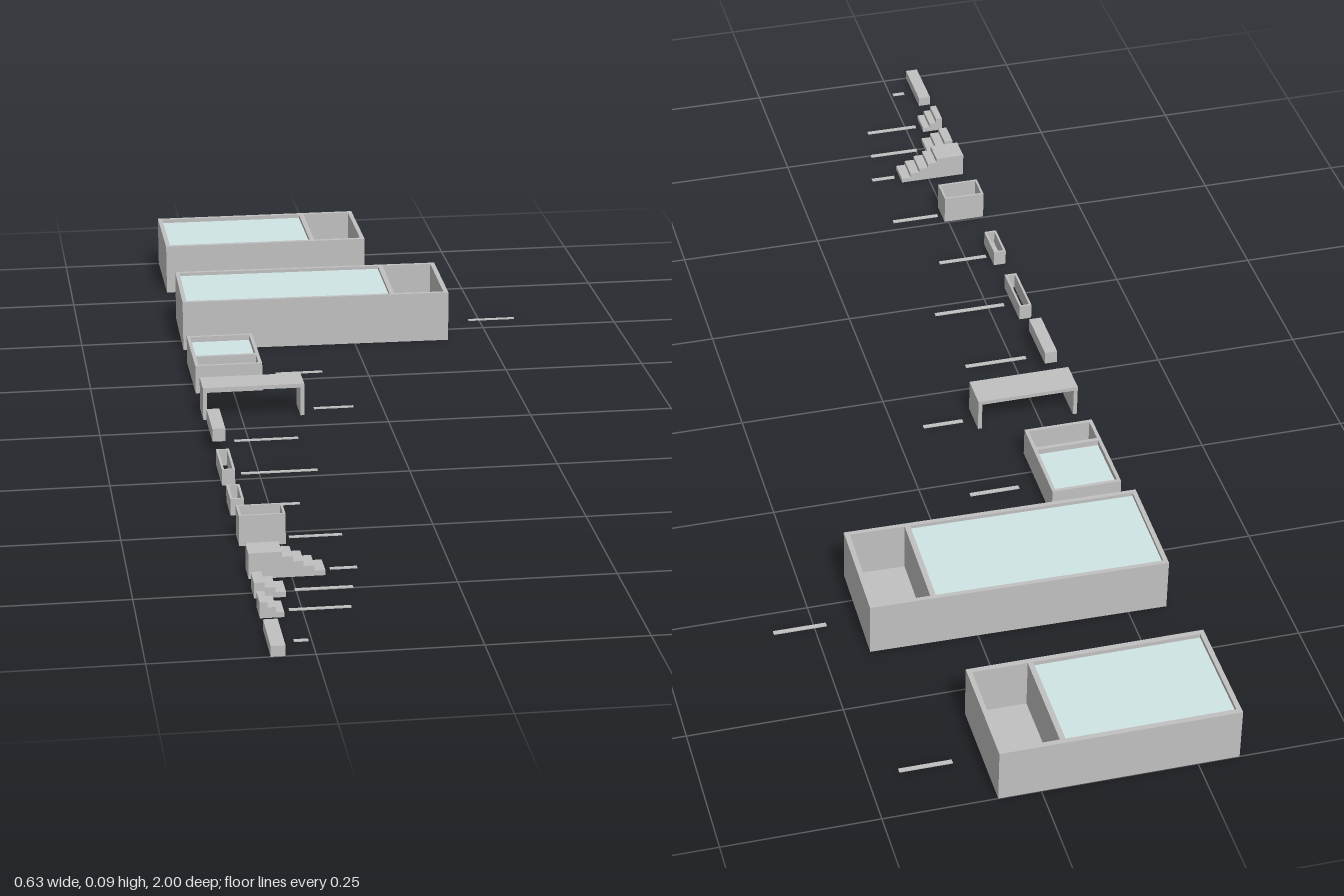
import * as THREE from 'three';

const concrete = new THREE.MeshStandardMaterial({ color: 0xc0c0c0 });
concrete.name = 'concrete grey';
const waterBlue = new THREE.MeshStandardMaterial({ color: 0xcfe5e5 });
waterBlue.name = 'pale water blue';

const LEFT = -0.317; // common edge on which every piece is aligned

function add(group, name, geometry, material) {
  const mesh = new THREE.Mesh(geometry, material);
  mesh.name = name;
  group.add(mesh);
}

// Box given by its limits
function block(group, name, x0, x1, y0, y1, z0, z1, material = concrete) {
  const g = new THREE.BoxGeometry(x1 - x0, y1 - y0, z1 - z0);
  g.translate((x0 + x1) / 2, (y0 + y1) / 2, (z0 + z1) / 2);
  add(group, name, g, material);
}

function rect(target, x0, x1, z0, z1) {
  target.moveTo(x0, -z0);
  target.lineTo(x0, -z1);
  target.lineTo(x1, -z1);
  target.lineTo(x1, -z0);
  target.closePath();
  return target;
}

// Walls around rectangular openings [x0, x1, z0, z1, waterLevel], plus a floor
function basin(root, name, x0, x1, z0, z1, h, cells, floor) {
  const group = new THREE.Group();
  group.name = name;
  const shape = rect(new THREE.Shape(), x0, x1, z0, z1);
  for (const c of cells) shape.holes.push(rect(new THREE.Path(), c[0], c[1], c[2], c[3]));
  const walls = new THREE.ExtrudeGeometry(shape, { depth: h - floor, bevelEnabled: false });
  walls.rotateX(-Math.PI / 2);
  walls.translate(0, floor, 0);
  add(group, 'walls', walls, concrete);
  if (floor > 0) block(group, 'floor', x0, x1, 0, floor, z0, z1);
  for (const [a, b, c, d, level] of cells) {
    if (level) block(group, 'water', a, b, floor, level, c, d, waterBlue);
  }
  root.add(group);
  return group;
}

// Flight of steps descending towards +x: first tread ends at xTop
function stairs(root, name, xTop, run, steps, z0, z1) {
  const rise = 0.0085;
  const shape = new THREE.Shape();
  shape.moveTo(LEFT, 0);
  shape.lineTo(xTop + run * (steps - 1), 0);
  for (let i = 1; i <= steps; i++) {
    const x = xTop + run * (steps - i);
    shape.lineTo(x, rise * i);
    shape.lineTo(i < steps ? x - run : LEFT, rise * i);
  }
  const g = new THREE.ExtrudeGeometry(shape, { depth: z1 - z0, bevelEnabled: false });
  g.translate(0, 0, z0);
  add(root, name, g, concrete);
}

export function createModel() {
  const root = new THREE.Group();
  root.name = 'poolParts';

  // Large pool with a dry chamber at the +x end
  basin(root, 'shortPool', LEFT, 0.068, -1, -0.804, 0.092, [
    [-0.309, -0.038, -0.991, -0.813, 0.085],
    [-0.029, 0.06, -0.991, -0.813, 0],
  ], 0.008);

  // Longer pool, built about its own centre and set very slightly askew
  const longPool = basin(root, 'longPool', -0.2455, 0.2455, -0.0957, 0.0957, 0.092, [
    [-0.238, 0.137, -0.088, 0.088, 0.086],
    [0.146, 0.237, -0.088, 0.088, 0],
  ], 0.008);
  longPool.position.set(-0.07, 0, -0.5367);
  longPool.rotation.y = -0.016;

  // Small square pool with a dry chamber at the front
  basin(root, 'plungePool', LEFT, -0.198, -0.37, -0.198, 0.051, [
    [-0.311, -0.204, -0.364, -0.256, 0.041],
    [-0.311, -0.204, -0.249, -0.204, 0],
  ], 0.006);

  // Bridge: slab on two side legs
  const bridge = new THREE.Group();
  bridge.name = 'bridge';
  block(bridge, 'slab', LEFT, -0.14, 0.051, 0.058, -0.114, -0.055);
  for (const x of [LEFT, -0.147]) block(bridge, 'leg', x, x + 0.007, 0, 0.051, -0.114, -0.055);
  root.add(bridge);

  // Raised ledge, open frame and trays
  block(root, 'raisedLedge', LEFT, -0.295, 0.02, 0.043, 0.012, 0.115);
  basin(root, 'openFrame', LEFT, -0.295, 0.175, 0.276, 0.028, [[-0.313, -0.299, 0.179, 0.272, 0]], 0);
  basin(root, 'smallTray', LEFT, -0.295, 0.347, 0.415, 0.028, [[-0.313, -0.299, 0.351, 0.411, 0]], 0.004);
  basin(root, 'deepTray', LEFT, -0.243, 0.503, 0.552, 0.051, [[-0.313, -0.247, 0.507, 0.548, 0]], 0.005);

  // Stairs and bench
  stairs(root, 'longStairs', -0.265, 0.0168, 5, 0.648, 0.693);
  stairs(root, 'middleStairs', -0.301, 0.0165, 3, 0.727, 0.773);
  stairs(root, 'shortStairs', -0.305, 0.0125, 3, 0.806, 0.852);
  block(root, 'bench', LEFT, -0.295, 0, 0.017, 0.897, 1);

  // Thin blank marker strips lying beside each piece: [x0, x1, z]
  const strips = [
    [0.115, 0.2, -0.905], [0.23, 0.317, -0.548], [-0.165, -0.08, -0.285], [-0.12, -0.05, -0.087],
    [-0.275, -0.165, 0.062], [-0.28, -0.152, 0.224], [-0.288, -0.2, 0.377], [-0.235, -0.15, 0.525],
    [-0.188, -0.145, 0.668], [-0.252, -0.162, 0.747], [-0.27, -0.175, 0.826], [-0.277, -0.255, 0.946],
  ];
  for (const [x0, x1, z] of strips) block(root, 'markerStrip', x0, x1, 0, 0.0015, z - 0.004, z + 0.004);

  return root;
}
